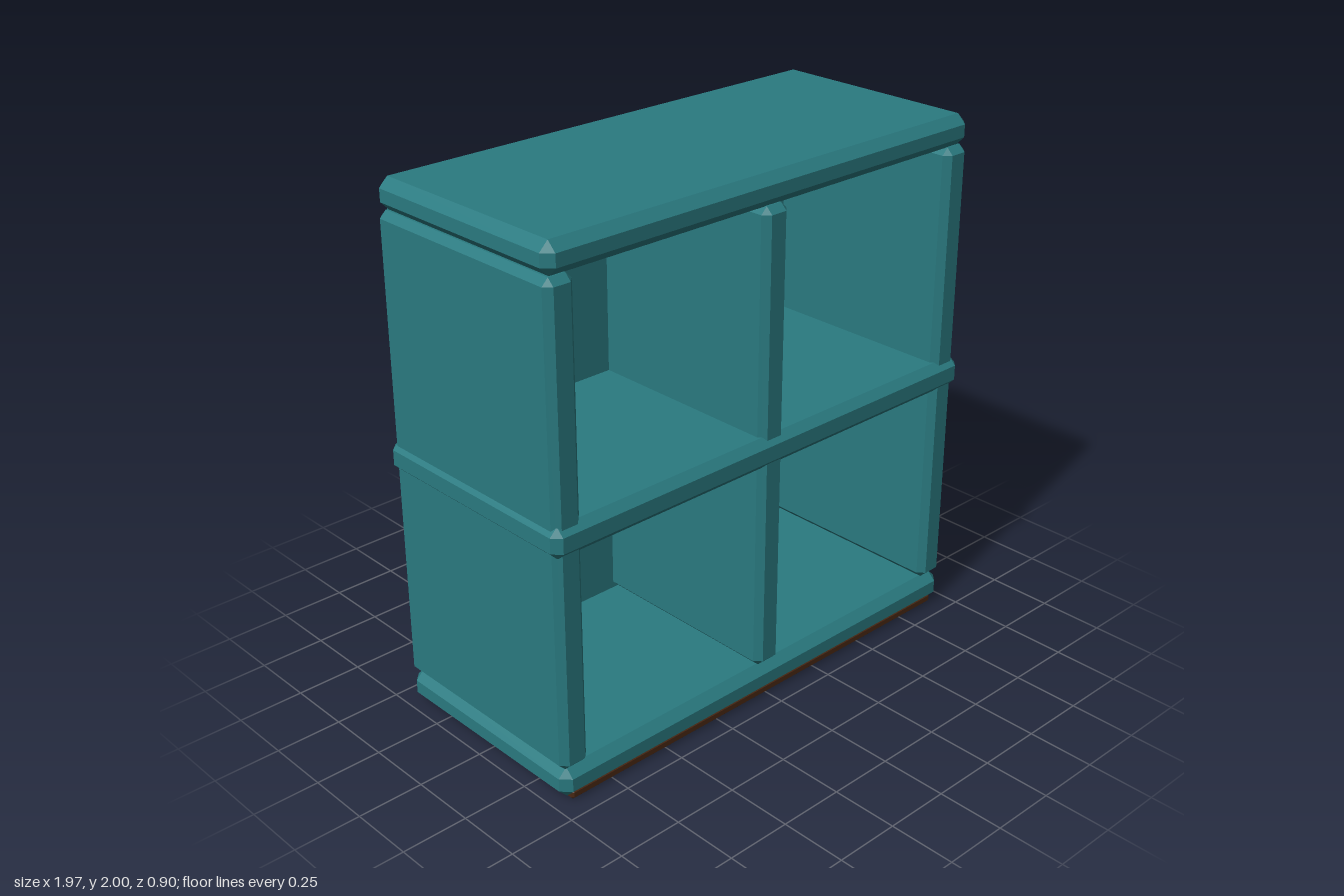
import * as THREE from 'three';
import { ConvexGeometry } from 'three/addons/geometries/ConvexGeometry.js';

const teal = new THREE.MeshStandardMaterial({ color: 0x2a7a80, flatShading: true });
const brown = new THREE.MeshStandardMaterial({ color: 0x4a2814, flatShading: true });

// Box between two corners with every edge and corner cut flat by c
function chamferBox(name, min, max, c, material = teal) {
  const center = min.map((v, i) => (v + max[i]) / 2);
  const half = min.map((v, i) => (max[i] - v) / 2);
  const points = [];
  for (const sx of [-1, 1]) for (const sy of [-1, 1]) for (const sz of [-1, 1]) {
    for (let axis = 0; axis < 3; axis++) {
      const p = half.map((h, i) => (i === axis ? h : h - c));
      points.push(new THREE.Vector3(sx * p[0], sy * p[1], sz * p[2]));
    }
  }
  const mesh = new THREE.Mesh(new ConvexGeometry(points), material);
  mesh.position.set(...center);
  mesh.name = name;
  return mesh;
}

export function createModel() {
  const group = new THREE.Group();
  group.name = 'cubeShelf';

  // Horizontal boards; the middle shelf stands slightly proud
  group.add(chamferBox('topBoard', [-0.97, 1.885, -0.437], [0.97, 2, 0.435], 0.034));
  group.add(chamferBox('middleShelf', [-0.985, 0.945, -0.447], [0.985, 1.062, 0.45], 0.03));
  group.add(chamferBox('bottomBoard', [-0.97, 0.012, -0.437], [0.97, 0.13, 0.435], 0.034));

  // Uprights: two sides and the divider
  const uprights = { rightSide: -0.913, divider: 0, leftSide: 0.913 };
  for (const [name, x] of Object.entries(uprights)) {
    group.add(chamferBox(name, [x - 0.058, 0.13, -0.435], [x + 0.058, 1.887, 0.433], 0.025));
  }

  // Back panel, just inside the rear edges of the frame
  const back = new THREE.Mesh(new THREE.BoxGeometry(1.86, 1.82, 0.065), teal);
  back.position.set(0, 1.007, -0.394);
  back.name = 'backPanel';
  group.add(back);

  // Brown strip under the front edge
  group.add(chamferBox('footStrip', [-0.93, 0, 0.34], [0.93, 0.036, 0.423], 0.008, brown));

  return group;
}
